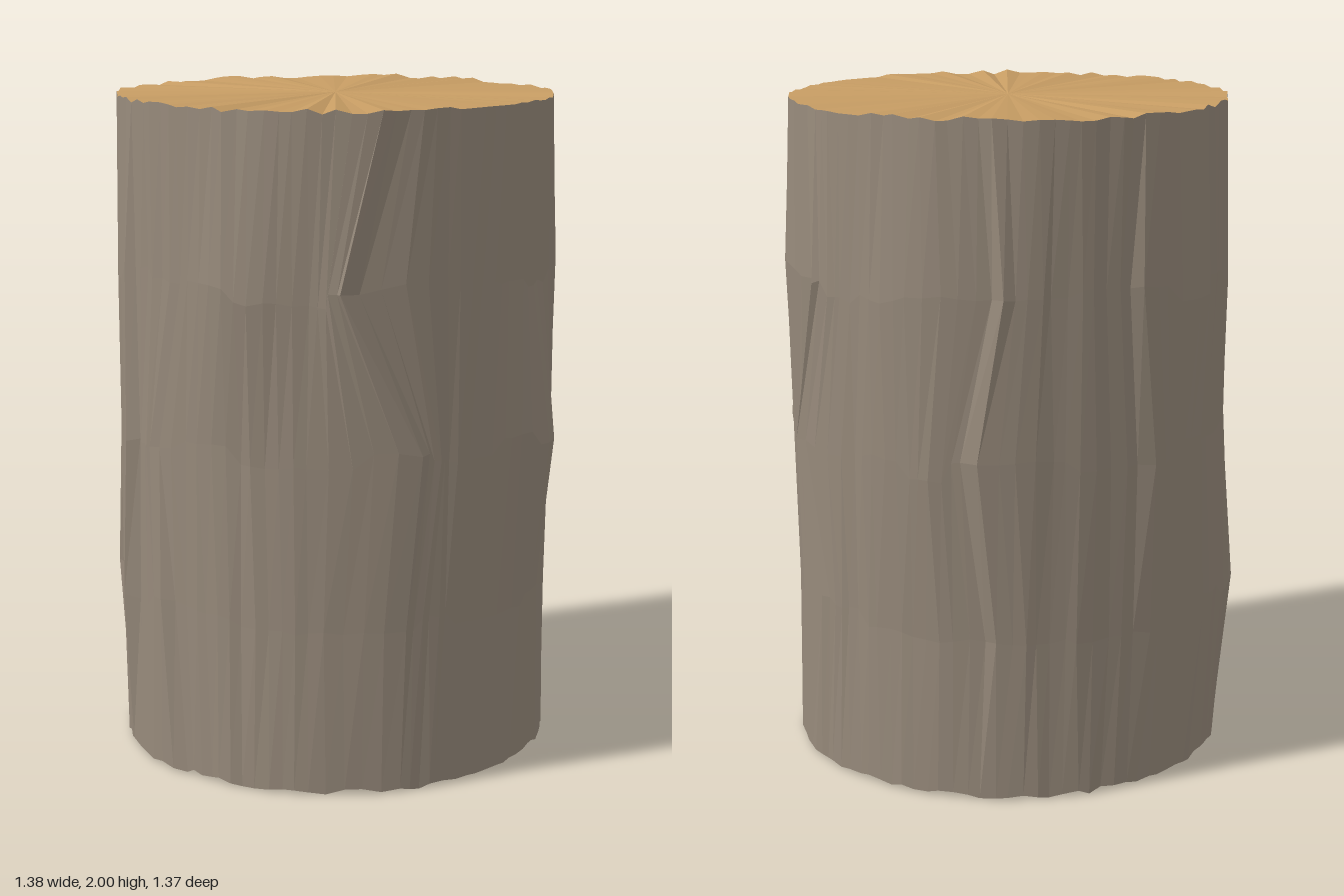
import * as THREE from 'three';

const COLS = 100;
const LEVELS = [0.008, 0.5, 1.0, 1.48, 1.992];
const RADII = [0.653, 0.65, 0.655, 0.656, 0.656];

// Bark splits: angle (0 = front, positive toward +x), sideways shift per level,
// plate lift per level, and the side of the split that is lifted
const SPLITS = [
  { a: 0.65, shift: [0.1, 0.12, 0.2, -0.18, 0], lift: [0, 0.01, 0.03, 0.03, 0.01], side: -1 },
  { a: -0.75, shift: [-0.08, -0.05, 0.04, 0.02, 0], lift: [0.005, 0.035, 0.03, 0.025, 0], side: -1 },
  { a: -0.4, shift: [0.06, 0, -0.1, 0, 0], lift: [0.02, 0.03, 0.02, 0, 0], side: -1 },
  { a: -1.22, shift: [0.05, -0.05, 0.08, 0, 0], lift: [0, 0.055, 0.015, 0.01, 0], side: -1 },
  { a: 1.66, shift: [0, -0.05, 0.03, 0, 0], lift: [0, 0.015, 0.02, 0, 0], side: -1 },
  { a: 2.36, shift: [0, 0.1, -0.14, 0.1, 0], lift: [0, 0.02, 0.03, 0.025, 0], side: 1 },
  { a: -2.95, shift: [0, 0.02, -0.08, 0.06, 0], lift: [0, 0.015, 0.03, 0.035, 0.005], side: 1 },
  { a: -2.2, shift: [0, 0.05, 0.06, -0.02, 0], lift: [0, 0.01, 0.025, 0.025, 0.005], side: 1 },
  { a: -1.78, shift: [0, 0.02, -0.04, 0.02, 0], lift: [0, 0.025, 0.03, 0.03, 0], side: -1 },
];

// Broad swellings of the trunk: angle, level, height, half width
const SWELLS = [
  [0, 3, 0.036, 0.3], [1.55, 2, 0.032, 0.45], [1.55, 3, -0.014, 0.4], [-1.6, 1, 0.025, 0.35],
  [-1.6, 3, 0.012, 0.5], [3.0, 3, 0.025, 0.4], [3.1, 2, 0.022, 0.45], [2.1, 3, 0.025, 0.4],
];

function seeded(seed) {
  return () => {
    seed = (seed * 16807) % 2147483647;
    return seed / 2147483647;
  };
}

const angleDiff = (a, b) => Math.atan2(Math.sin(a - b), Math.cos(a - b));

// Cross-sections of the bark, from the bottom to the top
function barkRings() {
  const rand = seeded(4711);
  const grooves = Array.from({ length: COLS }, () => (rand() - 0.5) * 0.007);
  return LEVELS.map((level, i) => {
    const inner = i > 0 && i < LEVELS.length - 1;
    const ring = [];
    let drift = 0;
    for (let j = 0; j < COLS; j++) {
      const a = (j / COLS) * Math.PI * 2;
      let angle = a + (rand() - 0.5) * 0.02;
      let r = RADII[i] + grooves[j] + (rand() - 0.5) * 0.005;
      for (const s of SPLITS) {
        const d = angleDiff(a, s.a);
        angle += s.shift[i] * Math.max(0, 1 - Math.abs(d) / 0.3);
        if (d * s.side >= 0) r += s.lift[i] * Math.max(0, 1 - Math.abs(d) / 0.32);
      }
      for (const [sa, lv, h, w] of SWELLS) {
        if (lv === i) r += h * Math.max(0, 1 - Math.abs(angleDiff(a, sa)) / w);
      }
      if (j % 4 === 0) drift = (rand() - 0.5) * 0.07;
      const y = inner ? level + drift + (rand() - 0.5) * 0.015 : level + (rand() - 0.5) * 0.016;
      ring.push(new THREE.Vector3(Math.sin(angle) * r + 0.005, y, Math.cos(angle) * r));
    }
    return ring;
  });
}

function facetedGeometry(triangles) {
  const geometry = new THREE.BufferGeometry().setFromPoints(triangles);
  geometry.computeVertexNormals();
  return geometry;
}

function barkGeometry(rings) {
  const tris = [];
  for (let i = 0; i < rings.length - 1; i++) {
    for (let j = 0; j < COLS; j++) {
      const k = (j + 1) % COLS;
      const a = rings[i][j], b = rings[i][k], c = rings[i + 1][k], d = rings[i + 1][j];
      tris.push(a, b, c, a, c, d);
    }
  }
  return facetedGeometry(tris);
}

// Sawn face closing one end of the log
function endGeometry(ring, y, up) {
  const centre = new THREE.Vector3(0.005, y, 0);
  const tris = [];
  for (let j = 0; j < COLS; j++) {
    const p = ring[j], q = ring[(j + 1) % COLS];
    if (up) tris.push(centre, p, q);
    else tris.push(centre, q, p);
  }
  return facetedGeometry(tris);
}

export function createModel() {
  const bark = new THREE.MeshStandardMaterial({ color: 0x978a7b });
  const wood = new THREE.MeshStandardMaterial({ color: 0xc69c63 });
  bark.name = 'greyBark';
  wood.name = 'cutWood';

  const log = new THREE.Group();
  log.name = 'log';
  const add = (name, geometry, material) => {
    const mesh = new THREE.Mesh(geometry, material);
    mesh.name = name;
    log.add(mesh);
  };

  const rings = barkRings();
  add('bark', barkGeometry(rings), bark);
  add('topCut', endGeometry(rings[rings.length - 1], LEVELS[4], true), wood);
  add('bottomCut', endGeometry(rings[0], LEVELS[0], false), wood);
  return log;
}
